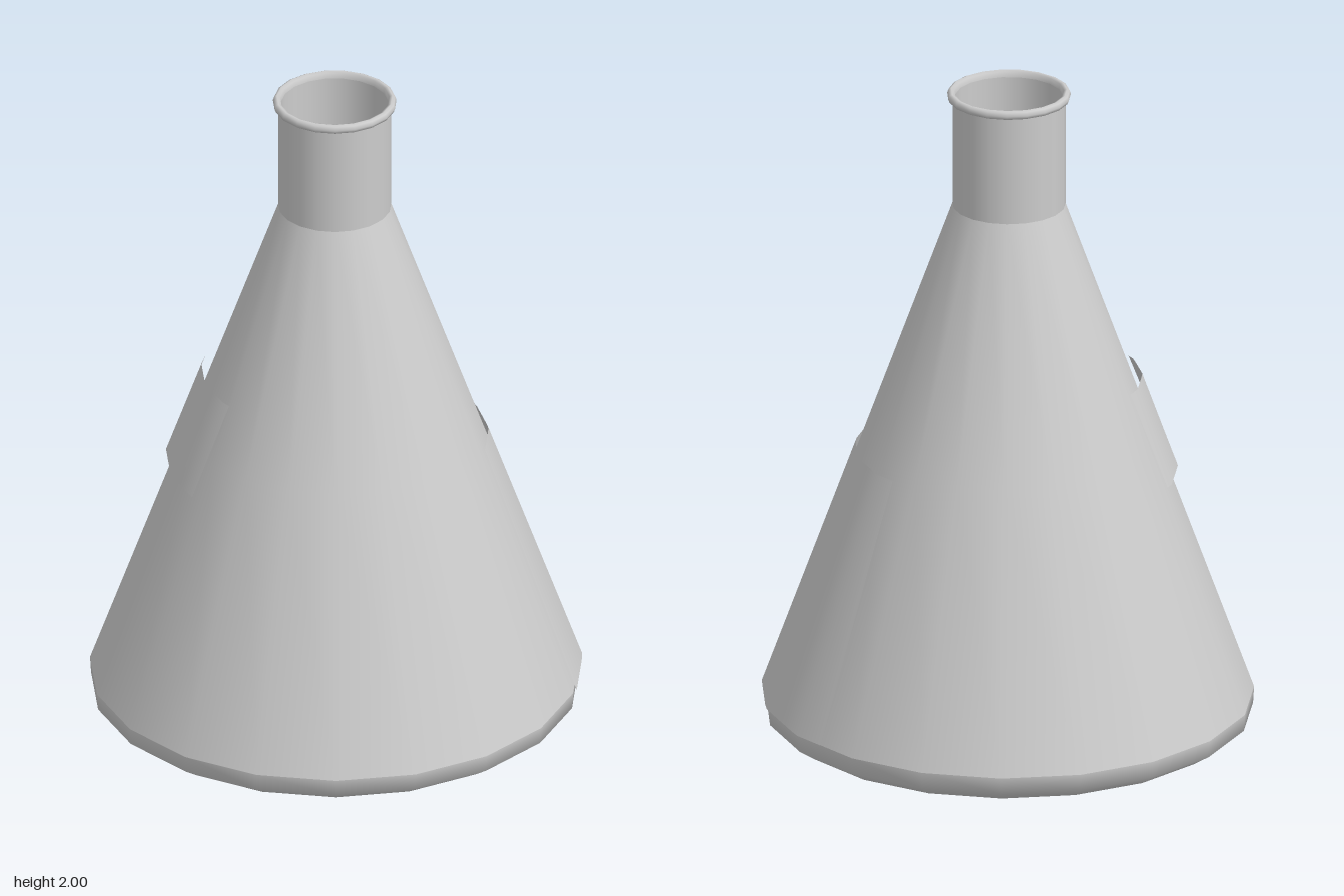
import * as THREE from 'three';

const SIDES = 19, STEP = (Math.PI * 2) / SIDES;

// Radius of the conical wall at height y, measured at a corner of the polygon
const coneRadius = (y) => 0.725 - (0.557 * (y - 0.1)) / 1.54;

// Ratio of the faceted wall's radius to its corner radius at angle a (0 = +x, positive towards +z)
function facet(a) {
  let t = (a + Math.PI / 2) % STEP;
  if (t < 0) t += STEP;
  return Math.cos(STEP / 2) / Math.cos(t - STEP / 2);
}

export function createModel() {
  const glass = new THREE.MeshStandardMaterial({ color: 0xcccccc, side: THREE.DoubleSide });
  glass.name = 'pale grey glass';
  const flask = new THREE.Group();
  flask.name = 'conicalFlask';

  const add = (name, geometry) => {
    const mesh = new THREE.Mesh(geometry, glass);
    mesh.name = name;
    flask.add(mesh);
  };
  const lathe = (name, profile) => add(name, new THREE.LatheGeometry(
    profile.map(([r, y]) => new THREE.Vector2(r, y)), SIDES, Math.PI, Math.PI * 2));

  // Separate shells keep the edges between them sharp
  lathe('bottom', [[0, 0], [0.625, 0]]);
  lathe('baseEdge', [[0.625, 0], [0.67, 0.016], [0.722, 0.05], [0.725, 0.1]]);
  lathe('body', [[0.725, 0.1], [coneRadius(0.9), 0.9], [0.168, 1.64]]);
  lathe('neck', [[0.168, 1.64], [0.168, 1.975]]);
  lathe('rim', [[0.168, 1.97], [0.18, 1.975], [0.184, 1.985], [0.18, 1.996],
    [0.172, 2], [0.163, 1.996], [0.16, 1.98]]);
  lathe('neckInside', [[0.16, 1.98], [0.16, 1.64]]);

  // Label wrapped on the wall: each row is [height, start angle, end angle] in degrees
  function label(name, rows, offset) {
    const columns = 24, positions = [], normals = [], index = [];
    rows.forEach(([y, from, to], j) => {
      for (let i = 0; i <= columns; i++) {
        const a = THREE.MathUtils.degToRad(from + ((to - from) * i) / columns);
        const r = coneRadius(y) * facet(a) + offset;
        positions.push(r * Math.cos(a), y, r * Math.sin(a));
        normals.push(0.94 * Math.cos(a), 0.34, 0.94 * Math.sin(a));
        if (i < columns && j < rows.length - 1) {
          const p = j * (columns + 1) + i, q = p + columns + 1;
          index.push(p, q, p + 1, p + 1, q, q + 1);
        }
      }
    });
    const g = new THREE.BufferGeometry();
    g.setAttribute('position', new THREE.Float32BufferAttribute(positions, 3));
    g.setAttribute('normal', new THREE.Float32BufferAttribute(normals, 3));
    g.setIndex(index);
    add(name, g);
  }
  label('largeLabel', [[0.105, -22.7, 41.7], [0.875, -23.2, 41.5]], 0.012);
  label('smallLabel', [[0.805, 176.5, 216.4], [1.095, 171.5, 220]], 0.03);

  flask.position.x = -0.01;
  const model = new THREE.Group();
  model.add(flask);
  return model;
}
